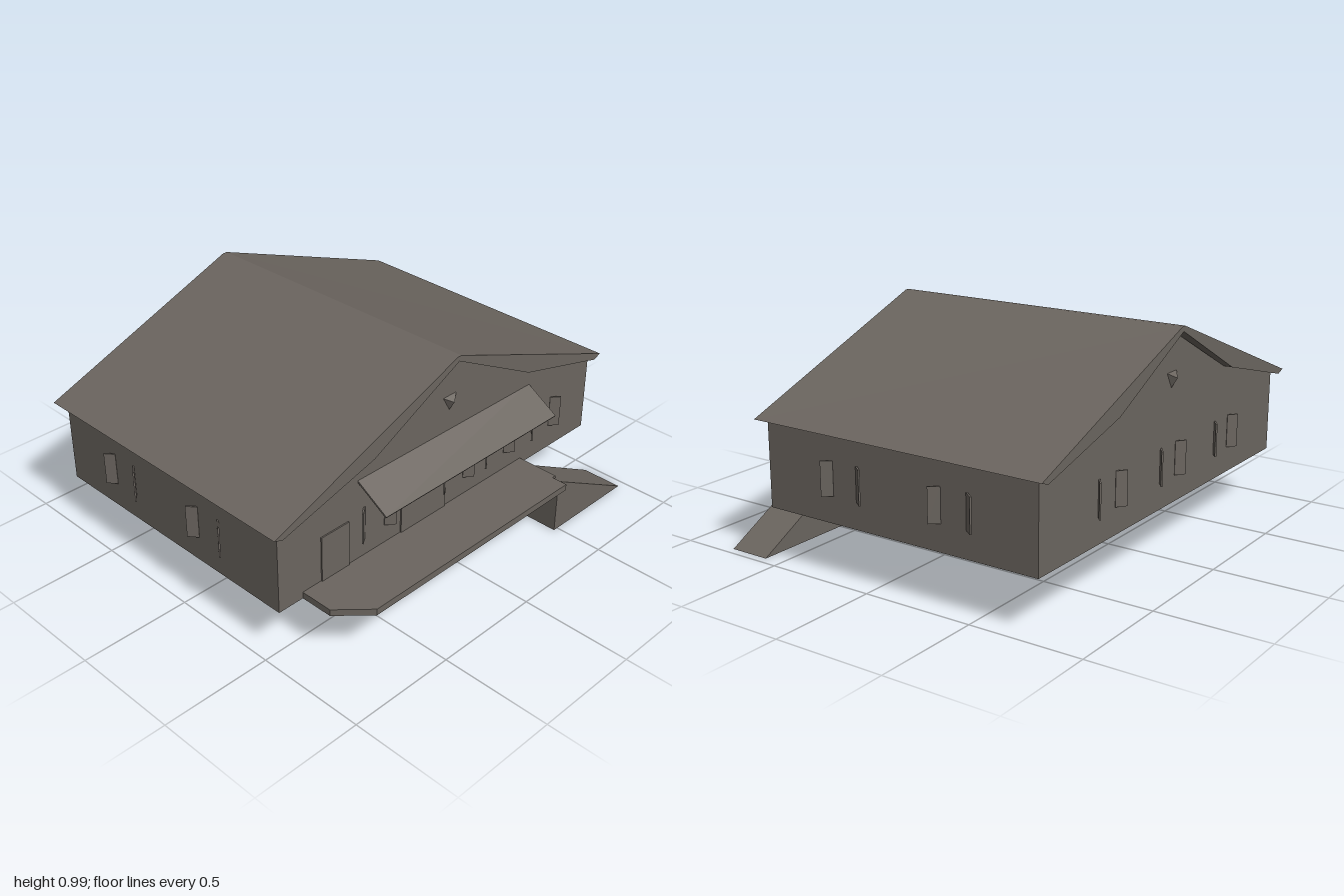
import * as THREE from 'three';

export function createModel() {
  const model = new THREE.Group();
  const stone = new THREE.MeshStandardMaterial({ color: 0x6b655f });
  stone.name = 'warm grey';

  function add(name, geometry, x = 0, y = 0, z = 0, parent = model) {
    const mesh = new THREE.Mesh(geometry, stone);
    mesh.name = name;
    mesh.position.set(x, y, z);
    parent.add(mesh);
    return mesh;
  }

  // Outline in x and y, pulled along z
  function prism(points, z0, z1) {
    const shape = new THREE.Shape(points.map(([x, y]) => new THREE.Vector2(x, y)));
    return new THREE.ExtrudeGeometry(shape, { depth: z1 - z0, bevelEnabled: false }).translate(0, 0, z0);
  }

  // Walls with gables that follow the kinked underside of the roof
  const kink = [[0.955, 0.6], [0.47, 0.73], [0, 0.97], [-0.47, 0.73], [-0.955, 0.6]];
  add('walls', prism([[-0.955, 0.235], [0.955, 0.235], ...kink], -0.78, 0.54));

  // Overhanging roof, its ridge slightly askew
  const roof = prism([[-0.997, 0.615], [-0.955, 0.6], [-0.47, 0.73], [0, 0.97], [0.47, 0.73],
    [0.955, 0.6], [0.997, 0.615], [0.01, 0.992], [-0.01, 0.992]], -0.82, 0.575);
  const pos = roof.attributes.position;
  for (let i = 0; i < pos.count; i++) {
    if (Math.abs(pos.getX(i)) < 0.1) pos.setX(i, pos.getX(i) + (pos.getZ(i) > 0 ? 0.01 : -0.015));
  }
  roof.computeVertexNormals();
  add('roof', roof);

  // Small pointed vents in both gables
  for (const side of [1, -1]) {
    const vent = new THREE.ConeGeometry(0.05, 0.03, 3).toNonIndexed();
    vent.computeVertexNormals();
    vent.rotateX(Math.PI / 2);
    if (side < 0) vent.rotateY(Math.PI);
    add('gableVent', vent, 0, 0.78, side > 0 ? 0.552 : -0.792);
  }

  // Pairs of open shutters; each wall is given as if facing +z
  function shutters(name, centres, halfGap, distance, turn) {
    const wall = new THREE.Group();
    wall.name = name;
    wall.rotation.y = turn;
    for (const c of centres) {
      for (const s of [-1, 1]) {
        const leaf = add('shutter', new THREE.BoxGeometry(0.05, 0.148, 0.007),
          c + s * halfGap, 0.425, distance + 0.014, wall);
        leaf.rotation.y = -s * 0.65;
      }
    }
    model.add(wall);
  }
  shutters('frontShutters', [-0.432, 0.05, 0.32, 0.635], 0.077, 0.54, 0);
  shutters('backShutters', [-0.485, -0.01, 0.465], 0.08, 0.78, Math.PI);
  shutters('leftShutters', [-0.135, 0.4], 0.081, 0.955, Math.PI / 2);
  shutters('rightShutters', [-0.4, 0.135], 0.081, 0.955, -Math.PI / 2);

  // Door panels on the front wall
  for (const [x0, x1, top] of [[-0.73, -0.58, 0.475], [-0.28, -0.1, 0.49], [-0.1, -0.01, 0.49]]) {
    add('doorPanel', new THREE.BoxGeometry(x1 - x0, top - 0.265, 0.008),
      (x0 + x1) / 2, (top + 0.265) / 2, 0.542);
  }

  // Porch deck with a cut corner
  const deck = prism([[-0.83, -0.53], [-0.83, -0.69], [-0.7, -0.815], [0.48, -0.815],
    [0.48, -0.74], [0.5, -0.74], [0.5, -0.53]], 0, 0.03);
  deck.rotateX(-Math.PI / 2);
  add('porchDeck', deck, 0, 0.235, 0);

  // Entrance ramp
  add('ramp', prism([[0.477, 0], [0.963, 0], [0.477, 0.262]], 0.585, 0.775));

  // Sloping awning over the porch
  const awning = add('awning', new THREE.BoxGeometry(1.055, 0.008, 0.185), 0, 0.588, 0.613);
  awning.rotation.set(0.55, 0, -0.005);

  return model;
}
